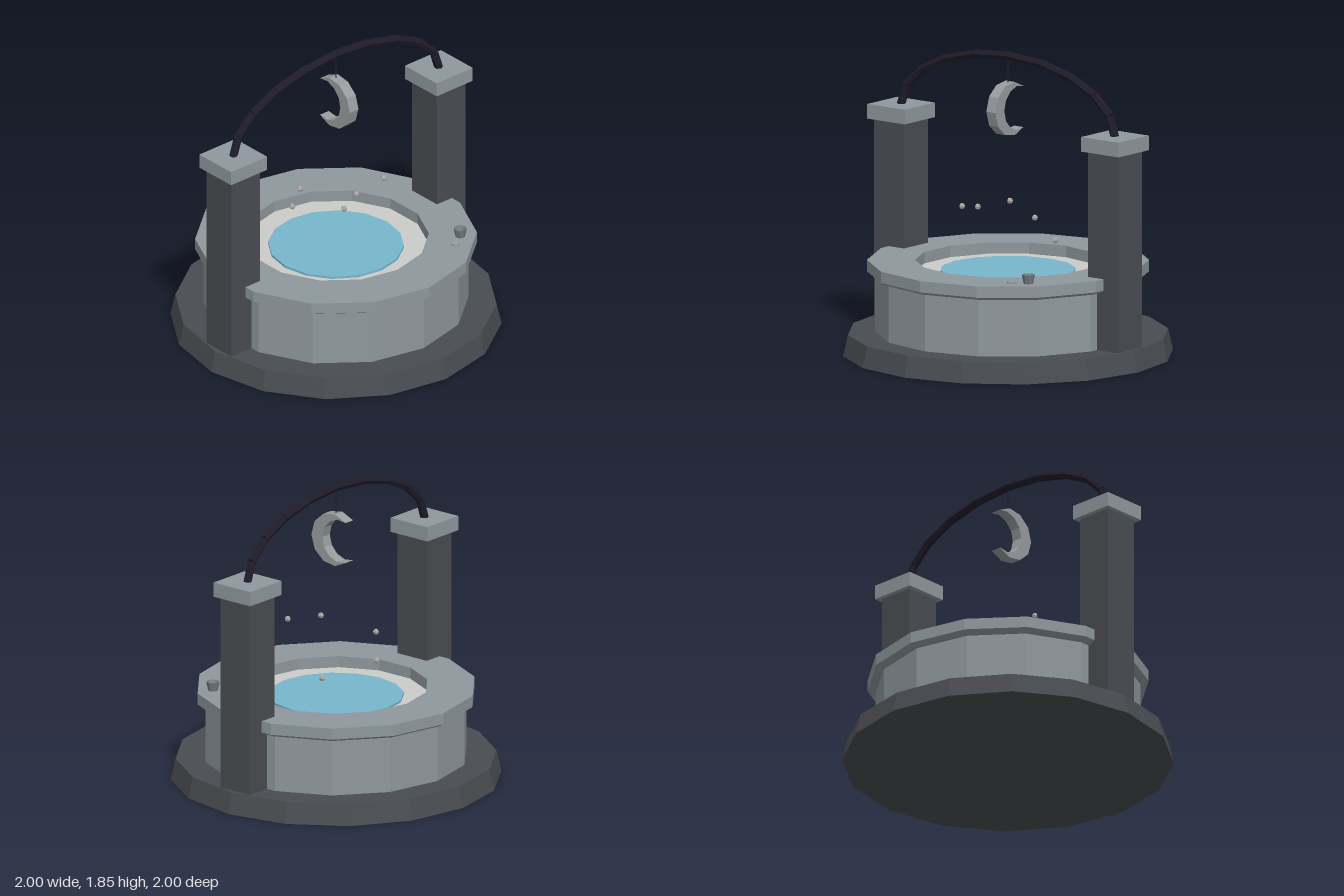
import * as THREE from 'three';

const mat = (name, color, extra = {}) =>
  Object.assign(new THREE.MeshStandardMaterial({ color, flatShading: true, ...extra }), { name });

export function createModel() {
  const group = new THREE.Group();
  const stone = mat('paleStone', 0x8e989c);
  const dark = mat('darkStone', 0x494c51);
  const sand = mat('whiteBasin', 0xcbccc9);
  const water = mat('water', 0x78b6cb);
  const iron = mat('blackIron', 0x1f1c29);
  const silver = mat('silver', 0x989c9e);
  const pearl = mat('pearl', 0xada8a5);
  const pewter = mat('pewter', 0x737b7e);

  const add = (name, geometry, material, x = 0, y = 0, z = 0) => {
    const mesh = new THREE.Mesh(geometry, material);
    mesh.name = name;
    mesh.position.set(x, y, z);
    group.add(mesh);
    return mesh;
  };
  const lathe = (points, sides) =>
    new THREE.LatheGeometry(points.map(([r, y]) => new THREE.Vector2(r, y)), sides);

  // Plinth and well wall
  add('plinth', new THREE.CylinderGeometry(0.97, 1, 0.13, 16), dark, 0, 0.065, 0);
  add('wellWall', new THREE.CylinderGeometry(0.8, 0.8, 0.35, 14), stone, 0, 0.305, 0);

  // Overhanging rim with a bevelled underside
  add('rim', lathe([[0.78, 0.478], [0.82, 0.482], [0.85, 0.5], [0.85, 0.57], [0.56, 0.57], [0.56, 0.48]], 14), stone);

  // Basin floor and water disc
  add('basinFloor', new THREE.CylinderGeometry(0.57, 0.57, 0.03, 14), sand, 0, 0.485, 0);
  add('water', new THREE.CylinderGeometry(0.41, 0.41, 0.025, 16), water, 0, 0.502, 0);

  // Pillars and caps
  for (const [side, s] of [['left', 1], ['right', -1]]) {
    add(side + 'Pillar', new THREE.BoxGeometry(0.23, 1.22, 0.23), dark, s * 0.825, 0.735, 0);
    add(side + 'PillarCap', new THREE.BoxGeometry(0.29, 0.09, 0.29), stone, s * 0.825, 1.385, 0);
  }

  // Arch of straight bars along a half ellipse
  const archPoint = (i) => {
    const t = (i / 10) * Math.PI;
    return new THREE.Vector3(0.825 * Math.cos(t), 1.425 + 0.4 * Math.sin(t), 0);
  };
  const up = new THREE.Vector3(0, 1, 0);
  for (let i = 0; i < 10; i++) {
    const a = archPoint(i), b = archPoint(i + 1);
    const dir = b.clone().sub(a);
    const bar = add('archBar', new THREE.CylinderGeometry(0.026, 0.026, dir.length(), 6), iron);
    bar.position.copy(a).add(b).multiplyScalar(0.5);
    bar.quaternion.setFromUnitVectors(up, dir.normalize());
  }

  // Hanging crescent
  add('hangingWire', new THREE.CylinderGeometry(0.004, 0.004, 0.17, 5), iron, 0, 1.74, 0);
  const outline = [];
  const arc = (cx, r, from, to) => {
    for (let i = 0; i <= 8; i++) {
      const t = THREE.MathUtils.degToRad(from + ((to - from) * i) / 8);
      outline.push(new THREE.Vector2(cx + r * Math.cos(t), r * Math.sin(t)));
    }
  };
  arc(0, 0.165, -130, 130);
  arc(-0.056, 0.135, 111, -111);
  const crescent = new THREE.ExtrudeGeometry(new THREE.Shape(outline), { depth: 0.07, bevelEnabled: false });
  crescent.translate(0, 0, -0.035).rotateY(-Math.PI / 2);
  add('crescent', crescent, silver, 0, 1.5, 0);

  // Floating droplets above the water
  const drops = [[-0.29, 0.85, -0.07], [-0.155, 0.92, 0.25], [0.19, 0.99, 0.22], [-0.03, 0.78, -0.295], [0.27, 0.705, -0.12]];
  for (const p of drops) add('droplet', new THREE.SphereGeometry(0.019, 5, 4), pearl, ...p);

  // Cup and coin resting on the rim
  add('cup', lathe([[0, 0], [0.029, 0], [0.04, 0.055], [0.034, 0.055], [0, 0.012]], 8), pewter, 0.557, 0.57, 0.5);
  add('coin', new THREE.CylinderGeometry(0.027, 0.027, 0.01, 6), silver, 0.47, 0.575, 0.555);

  return group;
}
